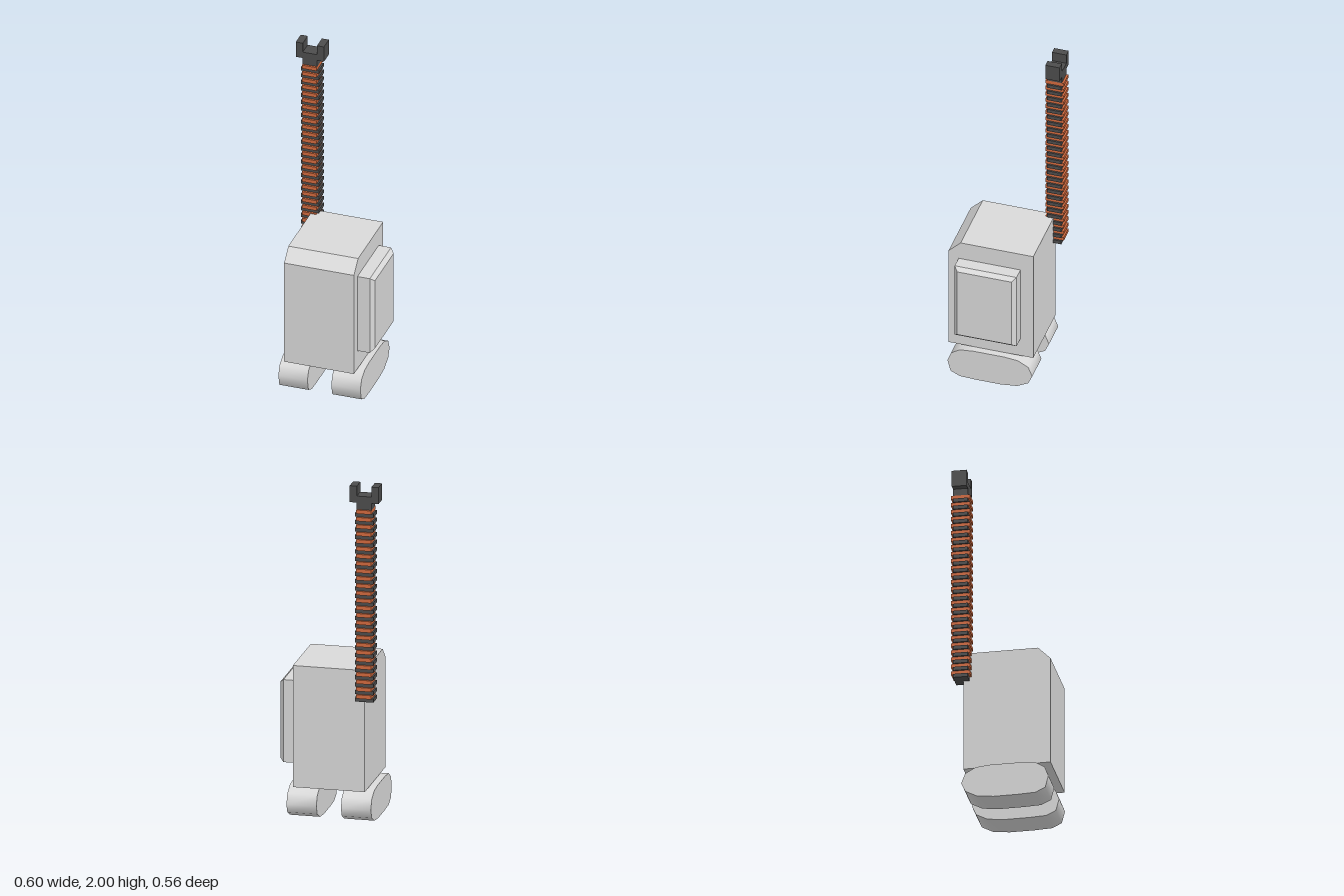
import * as THREE from 'three';
import { toCreasedNormals } from 'three/addons/utils/BufferGeometryUtils.js';

const mat = (name, color) => Object.assign(new THREE.MeshStandardMaterial({ color }), { name });

export function createModel() {
  const grey = mat('lightGrey', 0xd9d9d9);
  const dark = mat('darkGrey', 0x4d4d4d);
  const orange = mat('burntOrange', 0xd26a3e);
  const model = new THREE.Group();
  model.name = 'packRobot';

  const add = (parent, name, geometry, material) => {
    const mesh = new THREE.Mesh(geometry, material);
    mesh.name = name;
    parent.add(mesh);
    return mesh;
  };
  // Box given by its lower and upper corners
  const box = (parent, name, material, [x0, y0, z0], [x1, y1, z1]) =>
    add(parent, name, new THREE.BoxGeometry(x1 - x0, y1 - y0, z1 - z0), material)
      .position.set((x0 + x1) / 2, (y0 + y1) / 2, (z0 + z1) / 2);
  // Side profile of [z, y] points, extruded from x0 to x1
  const profile = (points, x0, x1) => {
    const shape = new THREE.Shape(points.map(([z, y]) => new THREE.Vector2(-z, y)));
    const g = new THREE.ExtrudeGeometry(shape, { depth: x1 - x0, bevelEnabled: false });
    return g.rotateY(Math.PI / 2).translate(x0, 0, 0);
  };

  // Body with a chamfered front top edge
  add(model, 'body', profile(
    [[0.278, 0.2], [-0.218, 0.2], [-0.218, 0.91], [0.207, 0.91], [0.278, 0.84]], -0.209, 0.204), grey);

  // Side panel: a slab with a bevelled cover
  box(model, 'sidePanel', grey, [0.2, 0.318, -0.143], [0.277, 0.8, 0.219]);
  const cover = new THREE.BoxGeometry(0.023, 0.482, 0.362);
  const p = cover.attributes.position;
  for (let i = 0; i < p.count; i++) {
    if (p.getX(i) > 0) p.setXYZ(i, p.getX(i), p.getY(i) * 0.911, p.getZ(i) * 0.878);
  }
  cover.computeVertexNormals();
  add(model, 'sidePanelCover', cover, grey).position.set(0.2885, 0.559, 0.038);

  // Rounded feet
  const sole = [[0.2, 0.004], [0.255, 0.03], [0.273, 0.1], [0.252, 0.155], [0.2, 0.188],
    [0.12, 0.196], [-0.06, 0.196], [-0.14, 0.188], [-0.2, 0.155], [-0.223, 0.097],
    [-0.2, 0.045], [-0.135, 0.011], [-0.04, 0], [0.1, 0]];
  [['rightFoot', -0.245, -0.073], ['leftFoot', 0.068, 0.24]].forEach(([name, x0, x1]) =>
    add(model, name, toCreasedNormals(profile(sole, x0, x1), 1.2), grey));

  // Ribbed arm: dark ribs wide in x alternate with orange ribs wide in z
  const arm = new THREE.Group();
  arm.name = 'ribbedArm';
  arm.position.set(-0.217, 0, -0.224);
  model.add(arm);
  const count = 26, step = 0.0432, bottom = 0.741;
  for (let i = 0; i < count; i++) {
    const y = bottom + i * step, mid = y + step / 2;
    box(arm, 'darkRib', dark, [-0.053, y, -0.042], [0.053, mid, 0.042]);
    box(arm, 'orangeRib', orange, [-0.043, mid, -0.054], [0.043, y + step, 0.054]);
  }

  // Forked claw at the top
  const top = bottom + count * step;
  box(arm, 'clawNeck', dark, [-0.043, top, -0.042], [0.043, 1.904, 0.042]);
  box(arm, 'clawBar', dark, [-0.083, 1.904, -0.042], [0.083, 1.942, 0.042]);
  for (const s of [-1, 1]) {
    const xs = [s * 0.042, s * 0.083].sort((a, b) => a - b);
    box(arm, 'clawProng', dark, [xs[0], 1.942, -0.042], [xs[1], 2, 0.042]);
  }
  return model;
}
